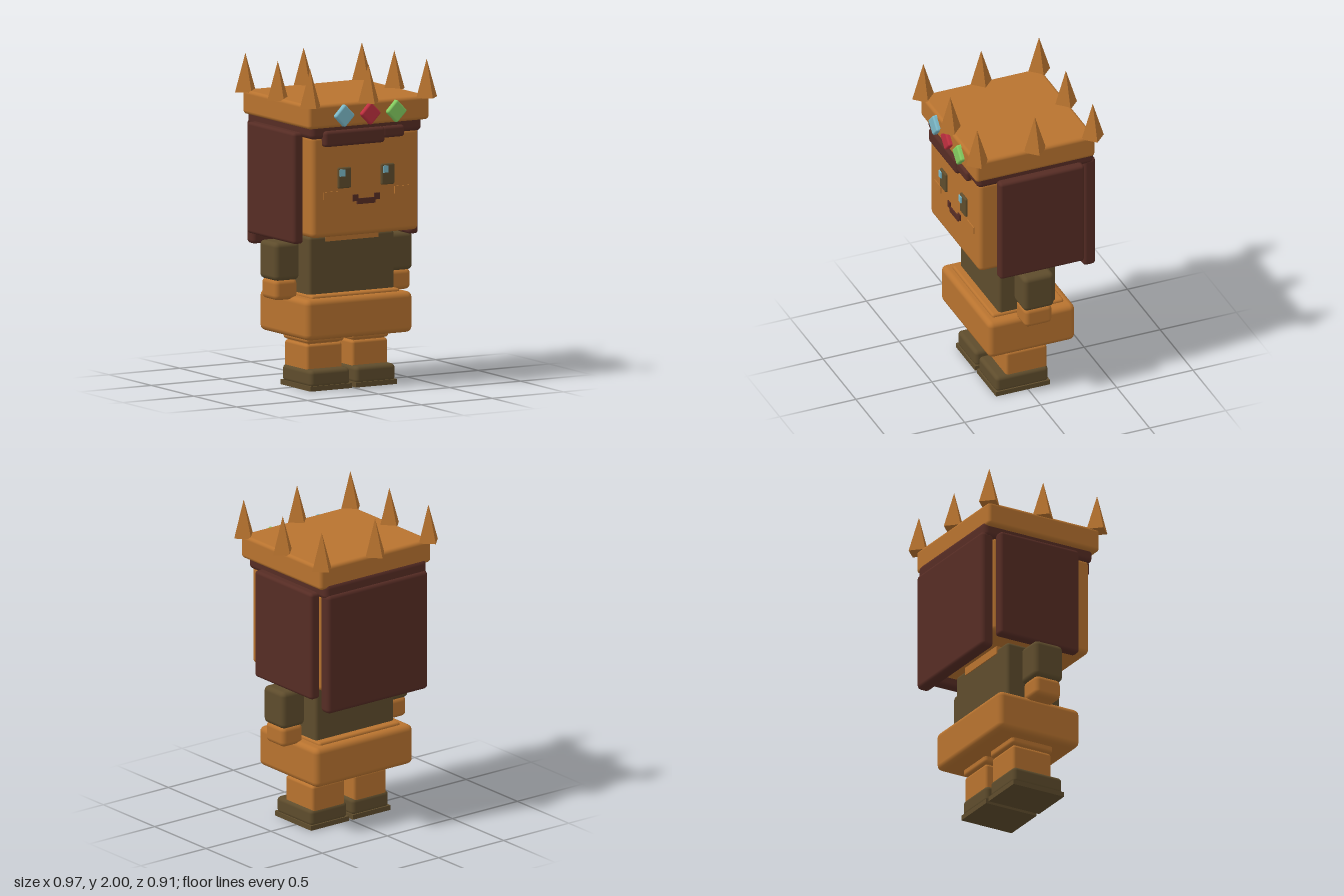
import * as THREE from 'three';
import { RoundedBoxGeometry } from 'three/addons/geometries/RoundedBoxGeometry.js';

const material = (name, color) => {
  const m = new THREE.MeshStandardMaterial({ color });
  m.name = name;
  return m;
};

export function createModel() {
  const model = new THREE.Group();
  model.name = 'crownedFigure';

  const tan = material('tan', 0xb8732f);
  const olive = material('olive', 0x5e4c2c);
  const maroon = material('maroon', 0x562c24);
  const blue = material('blue', 0x7cb9c8);
  const red = material('red', 0xbf2f3f);
  const green = material('green', 0x84cc60);

  // Box from its bounds, with bevelled edges when a radius is given
  function box(name, mat, [x0, x1], [y0, y1], [z0, z1], bevel = 0) {
    const size = [x1 - x0, y1 - y0, z1 - z0];
    const geometry = bevel
      ? new RoundedBoxGeometry(...size, 2, bevel)
      : new THREE.BoxGeometry(...size);
    const mesh = new THREE.Mesh(geometry, mat);
    mesh.name = name;
    mesh.position.set((x0 + x1) / 2, (y0 + y1) / 2, (z0 + z1) / 2);
    model.add(mesh);
    return mesh;
  }

  // The same box on the left (+x) and the right (-x)
  function pair(name, mat, [x0, x1], y, z, bevel) {
    box(name + 'Left', mat, [x0, x1], y, z, bevel);
    box(name + 'Right', mat, [-x1, -x0], y, z, bevel);
  }

  // Legs and boots
  pair('sole', olive, [0.015, 0.305], [0, 0.03], [-0.145, 0.21]);
  pair('boot', olive, [0.02, 0.3], [0.02, 0.125], [-0.14, 0.205], 0.025);
  pair('leg', tan, [0.035, 0.285], [0.1, 0.275], [-0.135, 0.135], 0.018);
  pair('thigh', tan, [0.05, 0.27], [0.26, 0.34], [-0.12, 0.12]);
  pair('legCuff', tan, [0.025, 0.29], [0.28, 0.36], [-0.145, 0.145], 0.02);

  // Skirt, torso and neck
  box('skirt', tan, [-0.375, 0.375], [0.32, 0.57], [-0.285, 0.285], 0.035);
  box('waistband', tan, [-0.31, 0.31], [0.53, 0.588], [-0.235, 0.235], 0.015);
  box('torso', olive, [-0.3, 0.3], [0.56, 0.94], [-0.187, 0.187], 0.02);
  box('neck', tan, [-0.185, 0.185], [0.905, 0.98], [-0.193, 0.193]);

  // Arms
  pair('sleeve', olive, [0.31, 0.485], [0.67, 0.905], [-0.1, 0.1], 0.03);
  pair('hand', tan, [0.32, 0.477], [0.55, 0.678], [-0.09, 0.09], 0.03);

  // Head
  box('head', tan, [-0.375, 0.375], [0.955, 1.58], [-0.335, 0.35], 0.03);

  // Face
  for (const [side, x] of [['Right', -0.155], ['Left', 0.15]]) {
    box('eye' + side, olive, [x - 0.046, x + 0.046], [1.25, 1.378], [0.34, 0.365], 0.01);
    box('eyeGlint' + side, blue, [x - 0.04, x - 0.004], [1.325, 1.367], [0.366, 0.374]);
  }
  pair('cheek', tan, [0.2, 0.3], [1.19, 1.235], [0.349, 0.356]);
  box('mouth', maroon, [-0.065, 0.065], [1.145, 1.18], [0.349, 0.358]);
  pair('mouthCorner', maroon, [0.058, 0.095], [1.165, 1.205], [0.349, 0.358]);

  // Hair
  box('hairCap', maroon, [-0.39, 0.39], [1.56, 1.66], [-0.4, 0.365], 0.03);
  box('fringeLong', maroon, [-0.31, 0.115], [1.513, 1.61], [0.33, 0.392], 0.02);
  box('fringeShort', maroon, [0.1, 0.257], [1.538, 1.61], [0.33, 0.385], 0.02);
  pair('sideHair', maroon, [0.37, 0.44], [0.912, 1.592], [-0.317, 0.24], 0.02);
  box('backHair', maroon, [-0.385, 0.385], [0.835, 1.592], [-0.415, -0.332], 0.025);

  // Crown band
  box('crownBand', tan, [-0.425, 0.425], [1.63, 1.777], [-0.392, 0.392], 0.022);

  // Crown spikes around the rim
  const spike = new THREE.ConeGeometry(0.073, 0.235, 4).toNonIndexed();
  spike.computeVertexNormals();
  for (const x of [-0.41, 0, 0.41]) {
    for (const z of [-0.38, 0, 0.38]) {
      if (x === 0 && z === 0) continue;
      const mesh = new THREE.Mesh(spike, tan);
      mesh.name = 'crownSpike';
      mesh.position.set(x, 1.8825, z);
      model.add(mesh);
    }
  }

  // Diamond-shaped gems on the crown front
  [blue, red, green].forEach((mat, i) => {
    const x = (i - 1) * 0.183;
    const gem = box(mat.name + 'Gem', mat, [x - 0.051, x + 0.051], [1.65, 1.752], [0.37, 0.418], 0.012);
    gem.rotation.z = Math.PI / 4;
  });

  return model;
}
